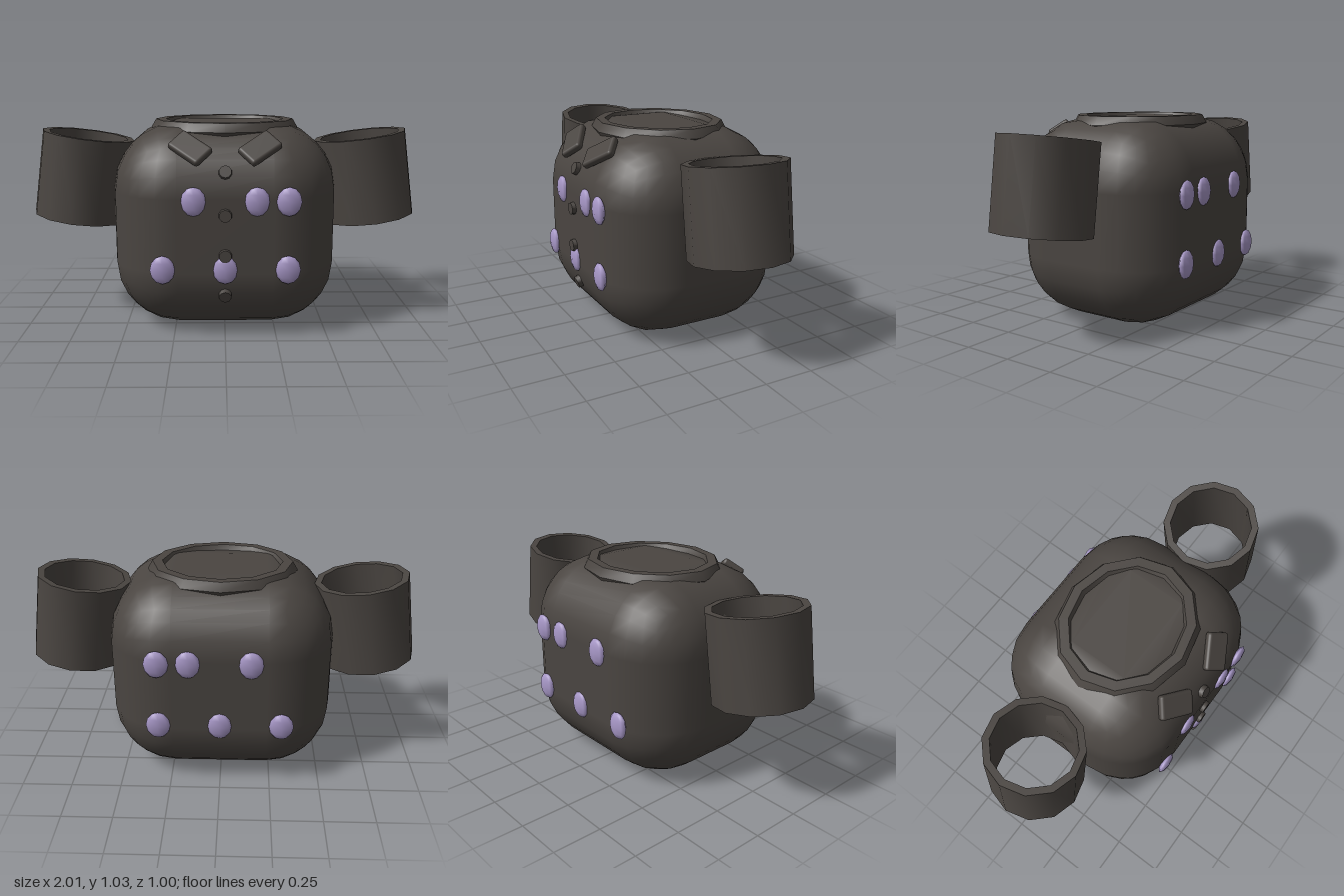
import * as THREE from 'three';
import { toCreasedNormals } from 'three/addons/utils/BufferGeometryUtils.js';
import { RoundedBoxGeometry } from 'three/addons/geometries/RoundedBoxGeometry.js';

const W = 1.12, H = 1.02, D = 0.96, R = 0.33; // body size and corner radius

export function createModel() {
  const group = new THREE.Group();
  const cloth = new THREE.MeshStandardMaterial({ color: 0x4a4541 });
  const purple = new THREE.MeshStandardMaterial({ color: 0xa898c8 });

  const add = (name, geometry, material, x, y, z) => {
    const mesh = new THREE.Mesh(geometry, material);
    mesh.name = name;
    mesh.position.set(x, y, z);
    group.add(mesh);
    return mesh;
  };

  // Rounded torso
  add('body', new RoundedBoxGeometry(W, H, D, 3, R), cloth, 0, H / 2, 0);

  // Low oval collar sunk into the top
  const collarGeometry = new THREE.TorusGeometry(0.33, 0.05, 6, 12);
  collarGeometry.rotateX(Math.PI / 2);
  collarGeometry.scale(1, 1, 0.88);
  add('collar', toCreasedNormals(collarGeometry, 0.8), cloth, 0, 0.987, 0);

  // Hollow sleeves: a closed wall section turned around the sleeve axis
  const outer = 0.24, inner = 0.205, half = 0.217;
  const wall = [[inner, -half], [outer, -half], [outer, half], [inner, half], [inner, -half]]
    .map(([x, y]) => new THREE.Vector2(x, y));
  const sleeveGeometry = toCreasedNormals(new THREE.LatheGeometry(wall, 12), 0.7);

  // Lapel patches on the front shoulder slope
  const lapelGeometry = new RoundedBoxGeometry(0.185, 0.12, 0.04, 2, 0.015);

  for (const side of [-1, 1]) {
    const sleeve = add(side > 0 ? 'leftSleeve' : 'rightSleeve', sleeveGeometry, cloth, side * 0.737, 0.732, 0);
    sleeve.rotation.z = side * 0.14;
    const lapel = add(side > 0 ? 'leftLapel' : 'rightLapel', lapelGeometry, cloth, side * 0.165, 0.922, 0.402);
    lapel.rotation.set(-0.8, 0, side * 0.7);
  }

  // Front buttons, each lying flat against the curved front
  const buttonGeometry = new THREE.CylinderGeometry(0.03, 0.035, 0.04, 10);
  buttonGeometry.rotateX(Math.PI / 2);
  const buttonShape = toCreasedNormals(buttonGeometry, 0.8);
  for (const y of [0.22, 0.42, 0.615, 0.815]) {
    const bend = y - THREE.MathUtils.clamp(y, R, H - R);
    const angle = Math.asin(bend / R);
    const z = D / 2 - R + R * Math.cos(angle);
    add('button', buttonShape, cloth, 0, y, z).rotation.x = -angle;
  }

  // Flattened spots, the same on front and back
  const spotGeometry = new THREE.SphereGeometry(1, 8, 6);
  spotGeometry.scale(0.06, 0.07, 0.022);
  const spots = [[-0.15, 0.68], [0.15, 0.68], [0.3, 0.68], [-0.3, 0.35], [0, 0.35], [0.3, 0.35]];
  for (const z of [-0.478, 0.478]) {
    for (const [x, y] of spots) add(z > 0 ? 'frontSpot' : 'backSpot', spotGeometry, purple, x, y, z);
  }

  return group;
}
